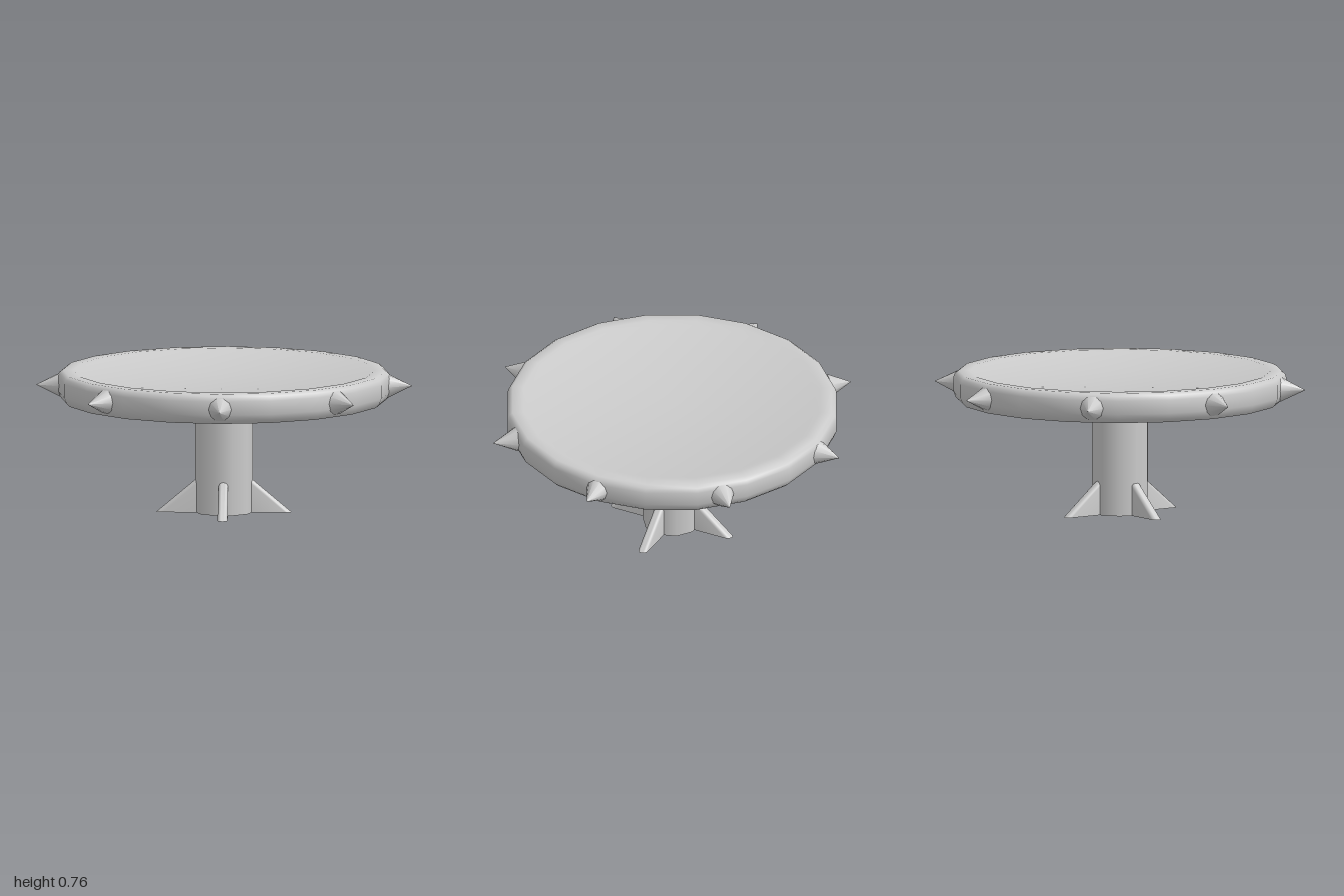
import * as THREE from 'three';
import { toCreasedNormals } from 'three/addons/utils/BufferGeometryUtils.js';

const material = new THREE.MeshStandardMaterial({ color: 0xcccccc, side: THREE.DoubleSide });

function addMesh(parent, name, geometry) {
  const mesh = new THREE.Mesh(geometry, material);
  mesh.name = name;
  parent.add(mesh);
  return mesh;
}

// Triangular fin along +x with a rounded sloping ridge and an open underside
function finGeometry(inner, outer, slope, halfWidth) {
  const height = (outer - inner) * slope;
  const rows = [[-halfWidth, height]];
  const steps = 8;
  for (let i = 0; i <= steps; i++) {
    const a = Math.PI * (1 - i / steps);
    rows.push([halfWidth * Math.cos(a), halfWidth * (1 - Math.sin(a))]);
  }
  rows.push([halfWidth, height]);

  const positions = [];
  const index = [];
  rows.forEach(([z, drop], j) => {
    const y = height - drop;
    // the end rows close each side wall down to the ground
    const reach = inner + (y > 0 ? y : height - halfWidth) / slope;
    positions.push(inner, 0, z, inner, y, z, reach, 0, z);
    if (j === rows.length - 1) return;
    for (let c = 0; c < 2; c++) {
      const p = j * 3 + c;
      index.push(p, p + 3, p + 4, p, p + 4, p + 1);
    }
  });
  const geometry = new THREE.BufferGeometry();
  geometry.setAttribute('position', new THREE.Float32BufferAttribute(positions, 3));
  geometry.setIndex(index);
  return toCreasedNormals(geometry, 0.7);
}

export function createModel() {
  const model = new THREE.Group();
  model.name = 'spikedTable';

  // Round top with bevelled rim and a very shallow recess
  const profile = [
    [0, 0.6], [0.855, 0.6], [0.873, 0.618], [0.886, 0.65], [0.886, 0.722],
    [0.877, 0.746], [0.858, 0.76], [0.8, 0.76], [0.77, 0.75], [0, 0.75],
  ].map(([r, y]) => new THREE.Vector2(r, y));
  addMesh(model, 'tabletop', toCreasedNormals(new THREE.LatheGeometry(profile, 20), 0.75));

  // Hollow ten-sided column, a corner on the x axis
  const column = new THREE.CylinderGeometry(0.155, 0.155, 0.6, 10, 1, true);
  column.rotateY(Math.PI / 2).translate(0, 0.3, 0);
  addMesh(model, 'column', column);

  // Spikes around the rim
  const spike = new THREE.ConeGeometry(0.065, 0.13, 10);
  spike.rotateZ(-Math.PI / 2).translate(0.935, 0.68, 0);
  const spikes = new THREE.Group();
  spikes.name = 'spikes';
  for (let i = 0; i < 8; i++) {
    addMesh(spikes, 'spike', spike).rotation.y = (i * Math.PI) / 4;
  }
  model.add(spikes);

  // Four foot fins
  const fin = finGeometry(0.125, 0.36, 0.84, 0.026);
  const fins = new THREE.Group();
  fins.name = 'footFins';
  for (let i = 0; i < 4; i++) {
    addMesh(fins, 'footFin', fin).rotation.y = (i * Math.PI) / 2;
  }
  model.add(fins);

  return model;
}
